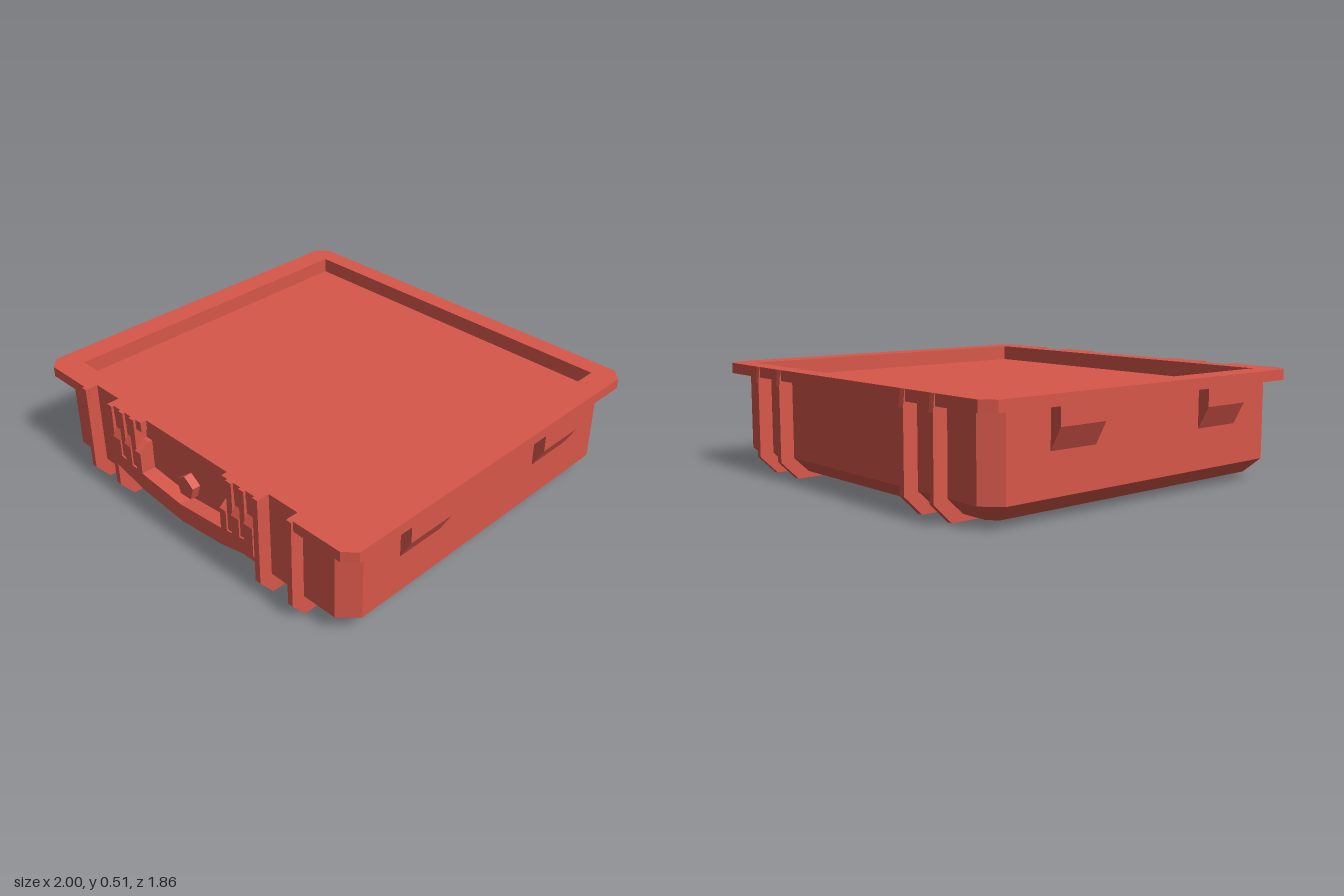
import * as THREE from 'three';

const red = new THREE.MeshStandardMaterial({ color: 0xd7574a });
red.name = 'case red';

const toShape = (pts) => new THREE.Shape(pts.map(([a, b]) => new THREE.Vector2(a, b)));
const extrude = (shape, depth) => new THREE.ExtrudeGeometry(shape, { depth, bevelEnabled: false });

// Chamfered rectangle in plan, at height y
function ring(hx, zBack, zFront, c, y) {
  return [
    [hx, zFront - c], [hx, zBack + c], [hx - c, zBack], [c - hx, zBack],
    [-hx, zBack + c], [-hx, zFront - c], [c - hx, zFront], [hx - c, zFront],
  ].map(([x, z]) => new THREE.Vector3(x, y, z));
}

// Flat-faced skin over a stack of rings, closed at both ends
function loft(rings) {
  const pos = [];
  const tri = (a, b, c) => [a, b, c].forEach((v) => pos.push(v.x, v.y, v.z));
  for (let r = 0; r < rings.length - 1; r++) {
    const lo = rings[r], hi = rings[r + 1];
    for (let i = 0; i < 8; i++) {
      const j = (i + 1) % 8;
      tri(lo[i], lo[j], hi[j]);
      tri(lo[i], hi[j], hi[i]);
    }
  }
  const first = rings[0], last = rings[rings.length - 1];
  for (let i = 1; i < 7; i++) {
    tri(first[0], first[i + 1], first[i]);
    tri(last[0], last[i], last[i + 1]);
  }
  const geo = new THREE.BufferGeometry();
  geo.setAttribute('position', new THREE.Float32BufferAttribute(pos, 3));
  geo.computeVertexNormals();
  return geo;
}

export function createModel() {
  const model = new THREE.Group();
  model.name = 'case';
  const add = (name, geo, x = 0, y = 0, z = 0) => {
    const mesh = new THREE.Mesh(geo, red);
    mesh.name = name;
    mesh.position.set(x, y, z);
    model.add(mesh);
    return mesh;
  };
  // Extrudes a (z, y) side profile across x0..x1
  const addProfile = (name, pts, x0, x1) => {
    const geo = extrude(toShape(pts.map(([z, y]) => [-z, y])), x1 - x0);
    geo.rotateY(Math.PI / 2);
    return add(name, geo, x0);
  };

  // Shell: tapered base, walls, then down into the shallow tray
  add('shell', loft([
    ring(0.87, -0.79, 0.79, 0.04, 0.03),
    ring(0.945, -0.865, 0.86, 0.078, 0.1),
    ring(0.945, -0.865, 0.86, 0.078, 0.465),
    ring(0.88, -0.83, 0.785, 0, 0.465),
    ring(0.88, -0.83, 0.785, 0, 0.44),
  ]));

  // Rim with latch notches along the front edge
  const half = [
    [0.27, 0.88], [0.27, 0.91], [0.5, 0.91], [0.5, 0.86], [0.665, 0.86], [0.665, 0.91],
    [0.945, 0.91], [1, 0.86], [1, -0.87], [0.945, -0.923],
  ];
  const outline = [...half, ...half.map(([x, z]) => [-x, z]).reverse()];
  const rimShape = toShape(outline.map(([x, z]) => [x, -z]));
  rimShape.holes.push(new THREE.Path(
    [[-0.88, -0.785], [-0.88, 0.83], [0.88, 0.83], [0.88, -0.785]].map((p) => new THREE.Vector2(...p))));
  const rimGeo = extrude(rimShape, 0.05);
  rimGeo.rotateX(-Math.PI / 2);
  add('rim', rimGeo, 0, 0.465);

  // Ribs wrapping front, underside and back
  const ribProfile = [
    [0.922, 0.515], [0.924, 0.085], [0.855, 0], [-0.845, 0], [-0.933, 0.085], [-0.933, 0.44], [-0.925, 0.515],
    [-0.85, 0.515], [-0.85, 0.105], [-0.78, 0.04], [0.78, 0.04], [0.85, 0.105], [0.85, 0.515],
  ];
  for (const [x0, x1] of [[0.47, 0.5], [0.666, 0.693]]) {
    addProfile('leftRib', ribProfile, x0, x1);
    addProfile('rightRib', ribProfile, -x1, -x0);
  }

  // Side brackets under the rim
  const bracket = toShape([[0.93, 0.285], [0.945, 0.285], [1, 0.385], [1, 0.466], [0.93, 0.466]]);
  for (const z of [0.32, -0.56]) {
    add('leftBracket', extrude(bracket, 0.248), 0, 0, z);
    const geo = extrude(bracket, 0.248);
    geo.rotateY(Math.PI);
    add('rightBracket', geo, 0, 0, z + 0.248);
  }

  // Curved carrying handle
  add('handle', extrude(toShape([
    [-0.47, 0.21], [-0.265, 0.163], [0, 0.137], [0.265, 0.163], [0.47, 0.21],
    [0.47, 0.285], [0.27, 0.253], [0, 0.228], [-0.27, 0.253], [-0.47, 0.285],
  ]), 0.08), 0, 0, 0.85);

  // Handle mounts: sloped lugs between upright ridges
  const lug = (zTop) => [[0.85, 0.24], [0.93, 0.24], [0.93, 0.36], [zTop, 0.4], [0.85, 0.4]];
  const back = [[0.85, 0.4], [0.908, 0.4], [0.908, 0.47], [0.85, 0.47]];
  const ridge = [[0.85, 0.25], [0.922, 0.25], [0.922, 0.515], [0.85, 0.515]];
  const mount = (name, profile, x0, x1) => {
    addProfile(name, profile, x0, x1);
    addProfile(name, profile, -x1, -x0);
  };
  mount('innerLug', lug(0.88), 0.27, 0.308);
  for (const [x0, x1] of [[0.342, 0.387], [0.418, 0.47]]) {
    mount('outerLug', lug(0.908), x0, x1);
    mount('mountBack', back, x0, x1);
  }
  for (const [x0, x1] of [[0.308, 0.342], [0.387, 0.418]]) mount('mountRidge', ridge, x0, x1);

  // Five-sided valve behind the handle
  const valve = new THREE.CylinderGeometry(0.058, 0.058, 0.05, 5).toNonIndexed();
  valve.rotateX(Math.PI / 2);
  valve.rotateZ(Math.PI);
  valve.computeVertexNormals();
  add('valve', valve, 0, 0.303, 0.875);

  return model;
}
